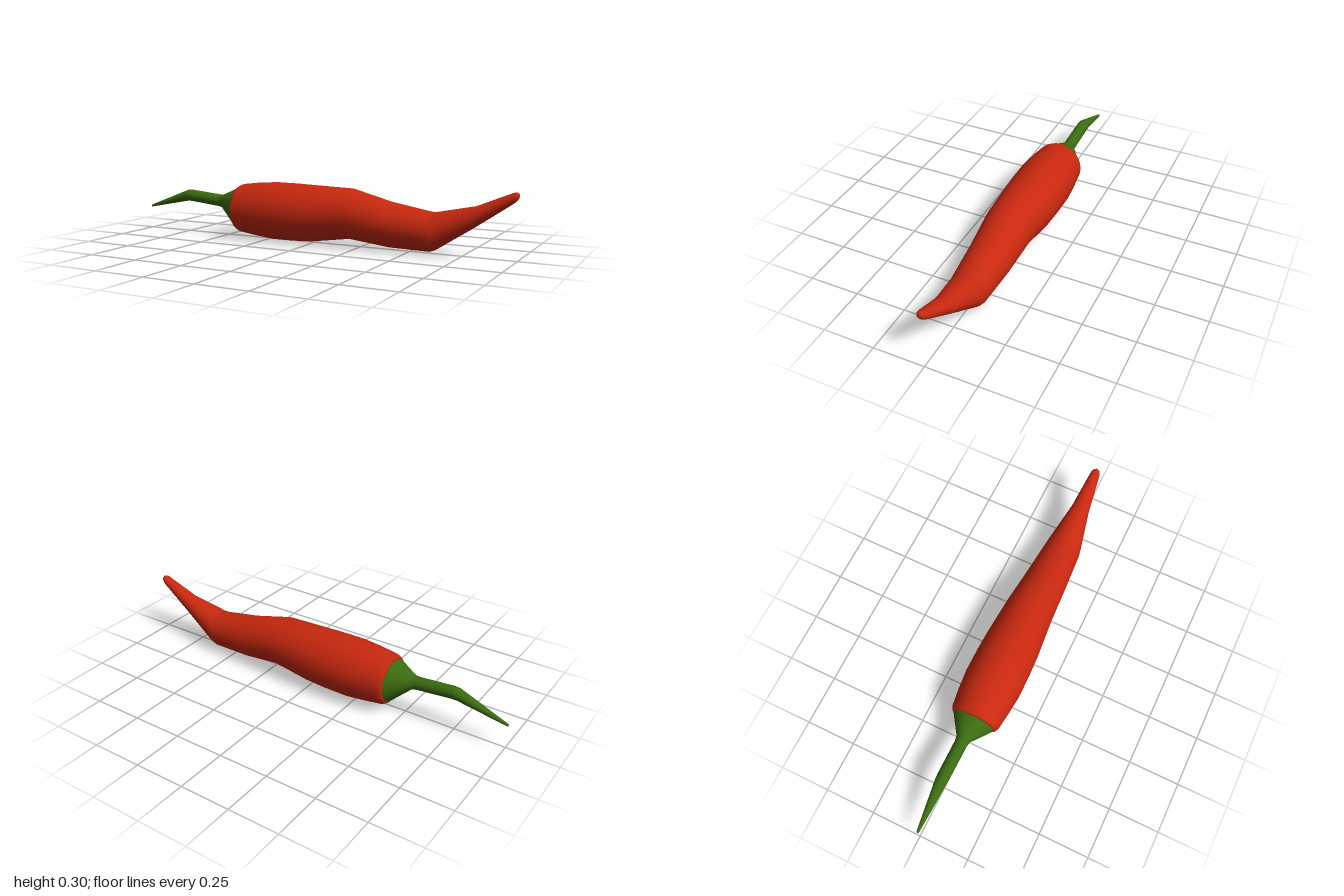
import * as THREE from 'three';

const SIDES = 32;

// Skin a row of upright round sections [x, centreY, radius], ordered along +x
function loft(name, color, sections) {
  const positions = [], index = [];
  for (const [x, y, r] of sections) {
    for (let j = 0; j < SIDES; j++) {
      const a = (j / SIDES) * Math.PI * 2;
      positions.push(x, y + r * Math.cos(a), r * Math.sin(a));
    }
  }
  for (let i = 0; i < sections.length - 1; i++) {
    for (let j = 0; j < SIDES; j++) {
      const k = (j + 1) % SIDES;
      const a = i * SIDES + j, b = i * SIDES + k;
      index.push(a, b, a + SIDES, b, b + SIDES, a + SIDES);
    }
  }
  // Close both ends with a centre point
  const last = (sections.length - 1) * SIDES;
  const start = positions.length / 3, end = start + 1;
  positions.push(sections[0][0], sections[0][1], 0);
  const tip = sections[sections.length - 1];
  positions.push(tip[0], tip[1], 0);
  for (let j = 0; j < SIDES; j++) {
    const k = (j + 1) % SIDES;
    index.push(start, k, j, end, last + j, last + k);
  }
  const geometry = new THREE.BufferGeometry();
  geometry.setAttribute('position', new THREE.Float32BufferAttribute(positions, 3));
  geometry.setIndex(index);
  geometry.computeVertexNormals();
  const mesh = new THREE.Mesh(geometry, new THREE.MeshStandardMaterial({ color }));
  mesh.name = name;
  return mesh;
}

export function createModel() {
  const group = new THREE.Group();
  group.name = 'chiliPepper';

  // Wavy red fruit, rising to a small rounded tip
  group.add(loft('fruit', 0xc8280f, [
    [-0.427, 0.149, 0.106],
    [-0.421, 0.149, 0.115],
    [-0.405, 0.148, 0.123],
    [-0.32, 0.148, 0.134],
    [-0.22, 0.147, 0.143],
    [-0.1, 0.147, 0.142],
    [0, 0.148, 0.138],
    [0.2, 0.16, 0.121],
    [0.4, 0.123, 0.107],
    [0.6, 0.104, 0.092],
    [0.625, 0.109, 0.088],
    [0.81, 0.189, 0.047],
    [0.972, 0.279, 0.025],
    [0.984, 0.286, 0.022],
    [0.994, 0.29, 0.016],
    [1, 0.293, 0.007],
  ]));

  // Green cap flaring from the bent, tapering stem
  group.add(loft('stemAndCap', 0x3b6b10, [
    [-1, 0.122, 0.005],
    [-0.99, 0.125, 0.007],
    [-0.755, 0.193, 0.029],
    [-0.73, 0.194, 0.03],
    [-0.555, 0.178, 0.031],
    [-0.53, 0.175, 0.035],
    [-0.43, 0.149, 0.104],
    [-0.415, 0.149, 0.112],
  ]));

  return group;
}
